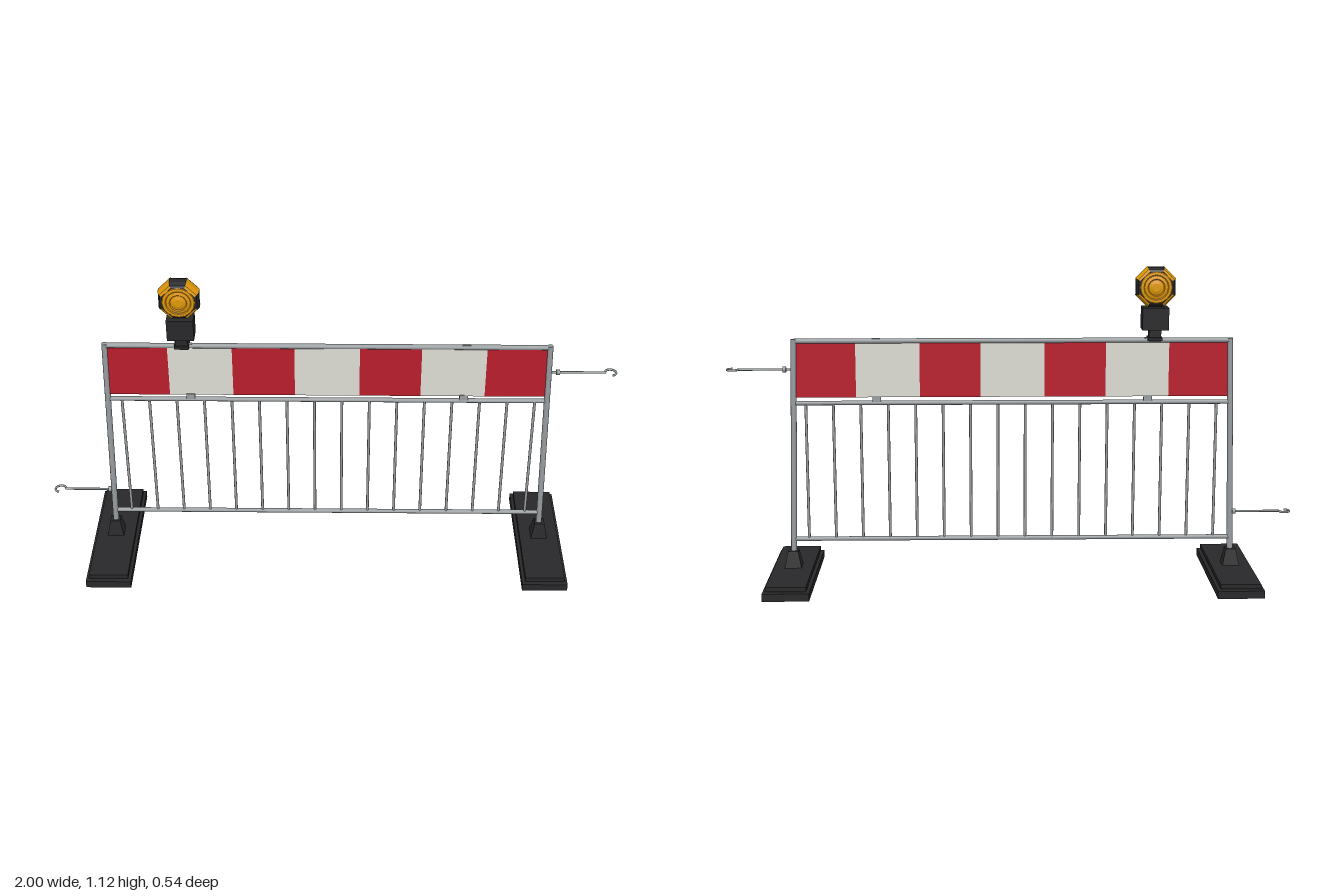
import * as THREE from 'three';

const mat = (name, color, side = THREE.FrontSide) => {
  const m = new THREE.MeshStandardMaterial({ color, side });
  m.name = name;
  return m;
};

export function createModel() {
  const steel = mat('galvanised steel', 0x989da0);
  const rubber = mat('black rubber', 0x28282a);
  const red = mat('reflective red', 0xb81d2c);
  const white = mat('reflective white', 0xdcdcd4);
  const amber = mat('amber lens', 0xe0980a, THREE.DoubleSide);
  const root = new THREE.Group();
  root.name = 'trafficBarrier';

  const add = (name, geo, material, x = 0, y = 0, z = 0, parent = root) => {
    const m = new THREE.Mesh(geo, material);
    m.name = name;
    m.position.set(x, y, z);
    parent.add(m);
    return m;
  };
  const box = (name, w, h, d, material, x, y, z = 0, parent = root) =>
    add(name, new THREE.BoxGeometry(w, h, d), material, x, y, z, parent);
  // Round bar between two points of the barrier plane
  const bar = (name, x0, y0, x1, y1, r, parent = root) => {
    const m = add(name, new THREE.CylinderGeometry(r, r, Math.hypot(x1 - x0, y1 - y0), 12),
      steel, (x0 + x1) / 2, (y0 + y1) / 2, 0, parent);
    m.rotation.z = -Math.atan2(x1 - x0, y1 - y0);
    return m;
  };
  // Flat-faced turned shape whose axis points along z
  const facetedLathe = (points, sides, start = 0, length = Math.PI * 2) => {
    const g = new THREE.LatheGeometry(points.map(p => new THREE.Vector2(...p)), sides, start, length)
      .toNonIndexed();
    g.rotateX(Math.PI / 2);
    g.computeVertexNormals();
    return g;
  };

  // Frame posts and rails
  bar('rightPost', -0.786, 0.08, -0.766, 0.869, 0.0105);
  bar('leftPost', 0.781, 0.08, 0.761, 0.869, 0.0105);
  bar('topRail', -0.766, 0.862, 0.761, 0.862, 0.009);
  bar('middleRail', -0.771, 0.642, 0.767, 0.642, 0.008);
  bar('bottomRail', -0.784, 0.148, 0.779, 0.148, 0.008);

  // Thin upright bars
  for (let i = 0; i < 16; i++) {
    const x = -0.723 + i * 0.0965;
    bar('uprightBar', x, 0.148, x, 0.642, 0.005);
  }

  // Striped board set between the posts
  const edges = [-0.764, -0.552, -0.33, -0.115, 0.11, 0.323, 0.547, 0.76];
  for (let i = 0; i < 7; i++) {
    box(i % 2 ? 'whiteStripe' : 'redStripe', edges[i + 1] - edges[i], 0.193, 0.009,
      i % 2 ? white : red, (edges[i] + edges[i + 1]) / 2, 0.7595);
  }
  for (const x of [-0.48, 0.475]) {
    box('boardClipLower', 0.03, 0.022, 0.014, steel, x, 0.656);
    box('boardClipUpper', 0.03, 0.01, 0.01, steel, x, 0.867);
  }

  // Rubber feet with tapered sockets
  for (const x of [-0.787, 0.782]) {
    const foot = new THREE.Group();
    foot.name = 'foot';
    foot.position.x = x;
    root.add(foot);
    box('footBase', 0.162, 0.027, 0.535, rubber, 0, 0.0135, 0, foot);
    box('footSpacer', 0.1, 0.008, 0.03, rubber, 0, 0.029, 0, foot);
    box('footTop', 0.14, 0.016, 0.508, rubber, 0, 0.039, 0, foot);
    const socket = new THREE.CylinderGeometry(0.0255, 0.0424, 0.06, 4).toNonIndexed();
    socket.rotateY(Math.PI / 4);
    socket.computeVertexNormals();
    add('footSocket', socket, rubber, 0, 0.076, 0, foot);
  }

  // Coupling hooks, one high on the left and one low on the right
  const hook = (s, y, postX) => {
    const g = new THREE.Group();
    g.name = 'couplingHook';
    g.position.y = y;
    root.add(g);
    const pts = [];
    for (let i = 0; i <= 12; i++) {
      const a = Math.PI - (i / 12) * Math.PI * 1.45;
      pts.push(new THREE.Vector3(s * (0.977 + 0.019 * Math.cos(a)), 0, -0.019 * Math.sin(a)));
    }
    bar('hookRod', s * postX, 0, s * 0.96, 0, 0.004, g);
    add('hookCurl', new THREE.TubeGeometry(new THREE.CatmullRomCurve3(pts), 28, 0.004, 8),
      steel, 0, 0, 0, g);
    bar('hookCollar', s * 0.79, 0, s * 0.802, 0, 0.01, g);
  };
  hook(1, 0.762, 0.764);
  hook(-1, 0.242, 0.782);

  // Warning lamp: clamp and battery case
  const lamp = new THREE.Group();
  lamp.name = 'warningLamp';
  lamp.position.x = -0.5;
  root.add(lamp);
  box('lampClamp', 0.05, 0.012, 0.054, rubber, 0, 0.868, 0, lamp);
  box('lampNeck', 0.042, 0.045, 0.042, rubber, 0, 0.882, 0, lamp);
  box('batteryCase', 0.092, 0.078, 0.068, rubber, 0, 0.94, 0, lamp);

  // Lamp head: eight-sided drum with four amber sides
  const head = new THREE.Group();
  head.name = 'lampHead';
  head.position.y = 1.05;
  lamp.add(head);
  const rim = [[0.059, -0.031], [0.067, -0.027], [0.074, -0.012],
    [0.074, 0.012], [0.067, 0.027], [0.059, 0.031]];
  add('lampHousing', facetedLathe([[0, -0.026], ...rim, [0, 0.026]], 8, Math.PI / 8),
    rubber, 0, 0, 0, head);
  const windowRim = rim.map(([r, z]) => [r + 0.0015, z * 1.04]);
  for (let i = 0; i < 4; i++) {
    add('rimWindow', facetedLathe(windowRim, 1, Math.PI * (i / 2 + 1 / 8), Math.PI / 4),
      amber, 0, 0, 0, head);
  }

  // Ringed amber lens on the front and back
  const lensProfile = [[0.058, 0.028], [0.054, 0.033], [0.044, 0.034], [0.041, 0.032],
    [0.03, 0.035], [0.027, 0.032], [0.014, 0.036], [0, 0.036]];
  for (const s of [0, 1]) {
    add('lampLens', facetedLathe(lensProfile, 16), amber, 0, 0, 0, head).rotation.y = s * Math.PI;
  }

  return root;
}
